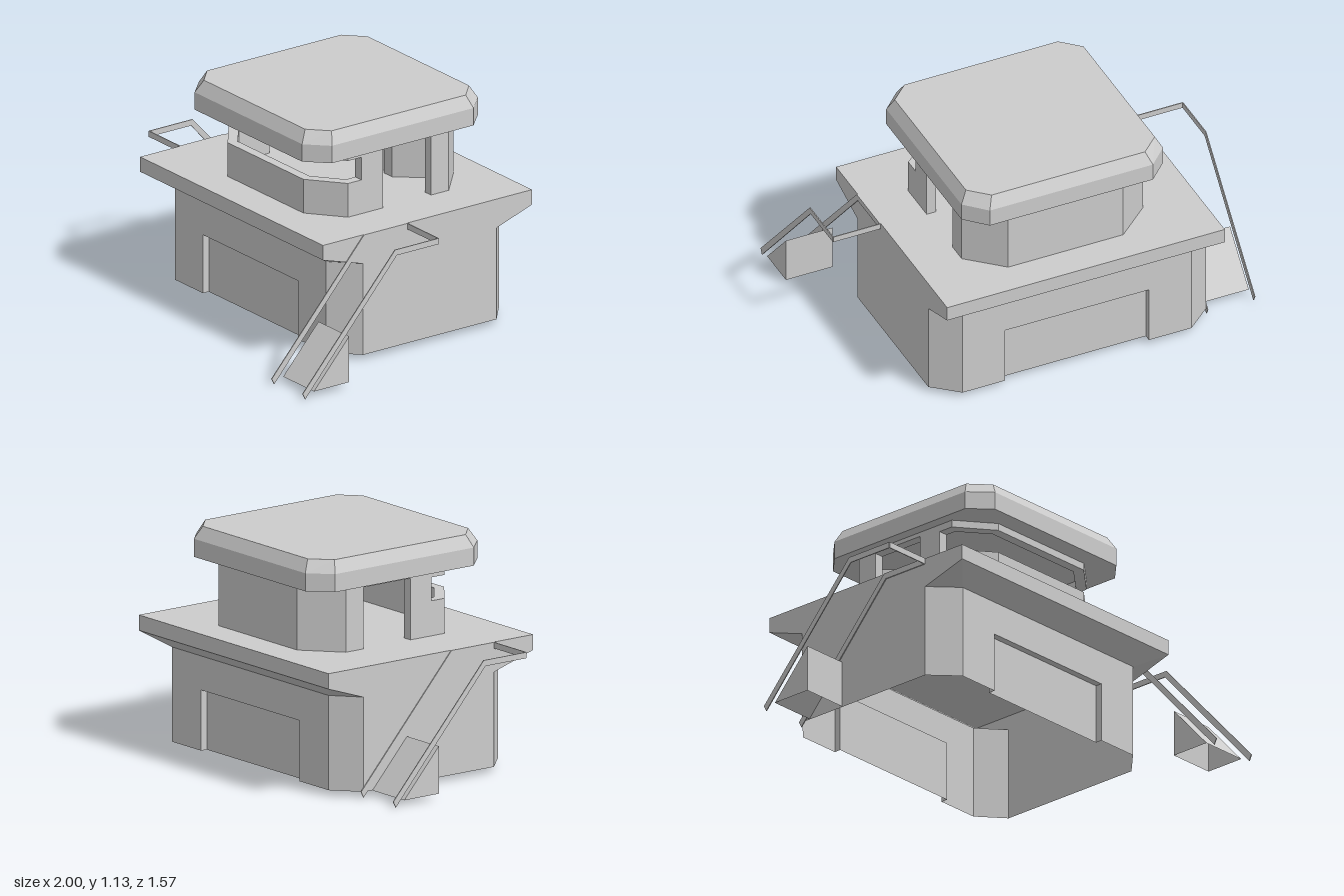
import * as THREE from 'three';
import { mergeGeometries } from 'three/addons/utils/BufferGeometryUtils.js';

const grey = new THREE.MeshStandardMaterial({ color: 0xcccccc, side: THREE.DoubleSide });
grey.name = 'grey';

// Plan outlines are lists of [x, z], running along the front towards +x first.
const octagon = (x0, x1, z0, z1, cx, cz) => [
  [x0 + cx, z1], [x1 - cx, z1], [x1, z1 - cz], [x1, z0 + cz],
  [x1 - cx, z0], [x0 + cx, z0], [x0, z0 + cz], [x0, z1 - cz],
];

const planShape = (plan) => new THREE.Shape(plan.map(([x, z]) => new THREE.Vector2(x, -z)));

// Wall band between two plan outlines with the same number of points
function band(low, y0, high, y1) {
  const p = [];
  low.forEach((a, i) => {
    const j = (i + 1) % low.length;
    const A = [a[0], y0, a[1]], B = [low[j][0], y0, low[j][1]];
    const C = [high[j][0], y1, high[j][1]], D = [high[i][0], y1, high[i][1]];
    p.push(...A, ...B, ...C, ...A, ...C, ...D);
  });
  const g = new THREE.BufferGeometry();
  g.setAttribute('position', new THREE.Float32BufferAttribute(p, 3));
  g.computeVertexNormals();
  return g;
}

// Flat horizontal face, looking up or down
function cap(plan, y, down = false) {
  let g = new THREE.ShapeGeometry(planShape(plan)).rotateX(-Math.PI / 2).translate(0, y, 0);
  g.deleteAttribute('uv');
  g = g.toNonIndexed();
  if (down) {
    const p = g.attributes.position;
    for (let i = 0; i < p.count; i += 3) {
      const a = new THREE.Vector3().fromBufferAttribute(p, i);
      const b = new THREE.Vector3().fromBufferAttribute(p, i + 1);
      p.setXYZ(i, b.x, b.y, b.z);
      p.setXYZ(i + 1, a.x, a.y, a.z);
    }
    g.computeVertexNormals();
  }
  return g;
}

// Solid made by raising a plan outline from y0 to y1
const prism = (plan, y0, y1) =>
  new THREE.ExtrudeGeometry(planShape(plan), { depth: y1 - y0, bevelEnabled: false })
    .rotateX(-Math.PI / 2).translate(0, y0, 0);

const box = (x0, x1, y0, y1, z0, z1) =>
  new THREE.BoxGeometry(x1 - x0, y1 - y0, z1 - z0)
    .translate((x0 + x1) / 2, (y0 + y1) / 2, (z0 + z1) / 2);

// Solid made by widening a [z, y] profile from x0 to x1
const sideProfile = (points, x0, x1) =>
  new THREE.ExtrudeGeometry(new THREE.Shape(points.map(([z, y]) => new THREE.Vector2(-z, y))),
    { depth: x1 - x0, bevelEnabled: false }).rotateY(Math.PI / 2).translate(x0, 0, 0);

function add(group, name, geometry) {
  const mesh = new THREE.Mesh(geometry, grey);
  mesh.name = name;
  group.add(mesh);
}

// Ladder with two thin rails, an end bar and a wedge, open below, at its foot
function makeStair(name) {
  const stair = new THREE.Group();
  stair.name = name;
  const rail = [[-0.03, 0.65], [0.23, 0.65], [0.787, 0.03], [0.772, 0], [0.22, 0.62], [-0.03, 0.62]];
  add(stair, 'innerRail', sideProfile(rail, 0.743, 0.748));
  add(stair, 'outerRail', sideProfile(rail, 0.995, 1));
  add(stair, 'endBar', box(0.745, 0.997, 0.62, 0.65, -0.035, -0.03));
  const foot = [[0.748, 0.718], [0.997, 0.718], [0.997, 0.505], [0.748, 0.505]];
  add(stair, 'footWedge', band(foot, 0.027, foot.map(([x]) => [x, 0.505]), 0.264));
  return stair;
}

export function createModel() {
  const model = new THREE.Group();
  model.name = 'watchPost';

  // Hollow base, open below, with a shallow door recess in the front and back
  const W = 0.743, D0 = -0.684, D1 = 0.36, rec = 0.035, dx = 0.385, y0 = 0.027;
  const base = octagon(-W, W, D0, D1, 0.13, 0.12);
  base[2][1] = base[7][1] = 0.232;
  base[3][1] = base[6][1] = -0.572;
  const notch = (s, z) => [[-s * dx, z], [-s * dx, z - s * rec], [s * dx, z - s * rec], [s * dx, z]];
  const notched = [base[0], ...notch(1, D1), ...base.slice(1, 5), ...notch(-1, D0), ...base.slice(5)];
  add(model, 'baseWalls', mergeGeometries([
    band(notched, y0, notched, 0.33),
    band(base, 0.33, base, 0.5),
    cap(notch(1, D1), 0.33, true),
    cap(notch(-1, D0), 0.33, true),
  ]));

  // Deck slab with sloping eaves
  const [zb, zf] = [-0.786, 0.474];
  const eaves = [[-W, zf], [W, zf], [W, zf], [W, zb], [W, zb], [-W, zb], [-W, zb], [-W, zf]];
  add(model, 'deckEaves', band(base, 0.5, eaves, 0.573));
  add(model, 'deckSlab', box(-W, W, 0.573, 0.65, zb, zf));

  // Cabin: front wall with a wraparound window, side doorways and a closed back
  const cabin = new THREE.Group();
  cabin.name = 'cabin';
  model.add(cabin);
  const frontWall = [
    [-0.46, 0.07], [-0.46, 0.15], [-0.28, 0.29], [0.336, 0.29], [0.51, 0.15], [0.51, 0.07],
    [0.46, 0.07], [0.46, 0.125], [0.315, 0.24], [-0.265, 0.24], [-0.41, 0.125], [-0.41, 0.07],
  ];
  const backWall = [
    [0.51, -0.35], [0.51, -0.457], [0.336, -0.615], [-0.28, -0.615], [-0.46, -0.457], [-0.46, -0.35],
    [-0.41, -0.35], [-0.41, -0.44], [-0.295, -0.56], [0.345, -0.56], [0.46, -0.44], [0.46, -0.35],
  ];
  add(cabin, 'windowSillWall', prism(frontWall, 0.65, 0.825));
  add(cabin, 'windowLintel', prism(frontWall, 0.942, 0.978));
  add(cabin, 'backWall', prism(backWall, 0.65, 0.978));
  for (const [side, x] of [['left', 0.46], ['right', -0.46]]) {
    add(cabin, side + 'Pillar', box(x, x + 0.05, 0.65, 0.978, -0.06, 0.07));
    add(cabin, side + 'DoorLintel', box(x, x + 0.05, 0.957, 0.978, -0.35, -0.06));
  }

  // Inner shaft against the back wall, with a door recess
  const shaft = [[0.2, -0.345], [0.335, -0.5], [0.335, -0.57], [-0.285, -0.57], [-0.285, -0.5], [-0.15, -0.345]];
  const shaftDoor = [[-0.1, -0.345], [-0.1, -0.365], [0.135, -0.365], [0.135, -0.345]];
  add(cabin, 'shaftLower', prism([...shaft, ...shaftDoor], 0.65, 0.85));
  add(cabin, 'shaftUpper', prism(shaft, 0.85, 0.978));

  // Roof with a bevelled top edge
  const rim = octagon(-0.516, 0.563, -0.67, 0.39, 0.103, 0.103);
  const top = octagon(-0.482, 0.529, -0.635, 0.353, 0.095, 0.09);
  add(model, 'roof', mergeGeometries([
    cap(rim, 0.978, true),
    band(rim, 0.978, rim, 1.068),
    band(rim, 1.068, top, 1.13),
    cap(top, 1.13),
  ]));

  // One ladder on each side, the second turned to descend backwards
  model.add(makeStair('leftStair'));
  const rightStair = makeStair('rightStair');
  rightStair.rotation.y = Math.PI;
  rightStair.position.z = 0.198;
  model.add(rightStair);
  return model;
}
